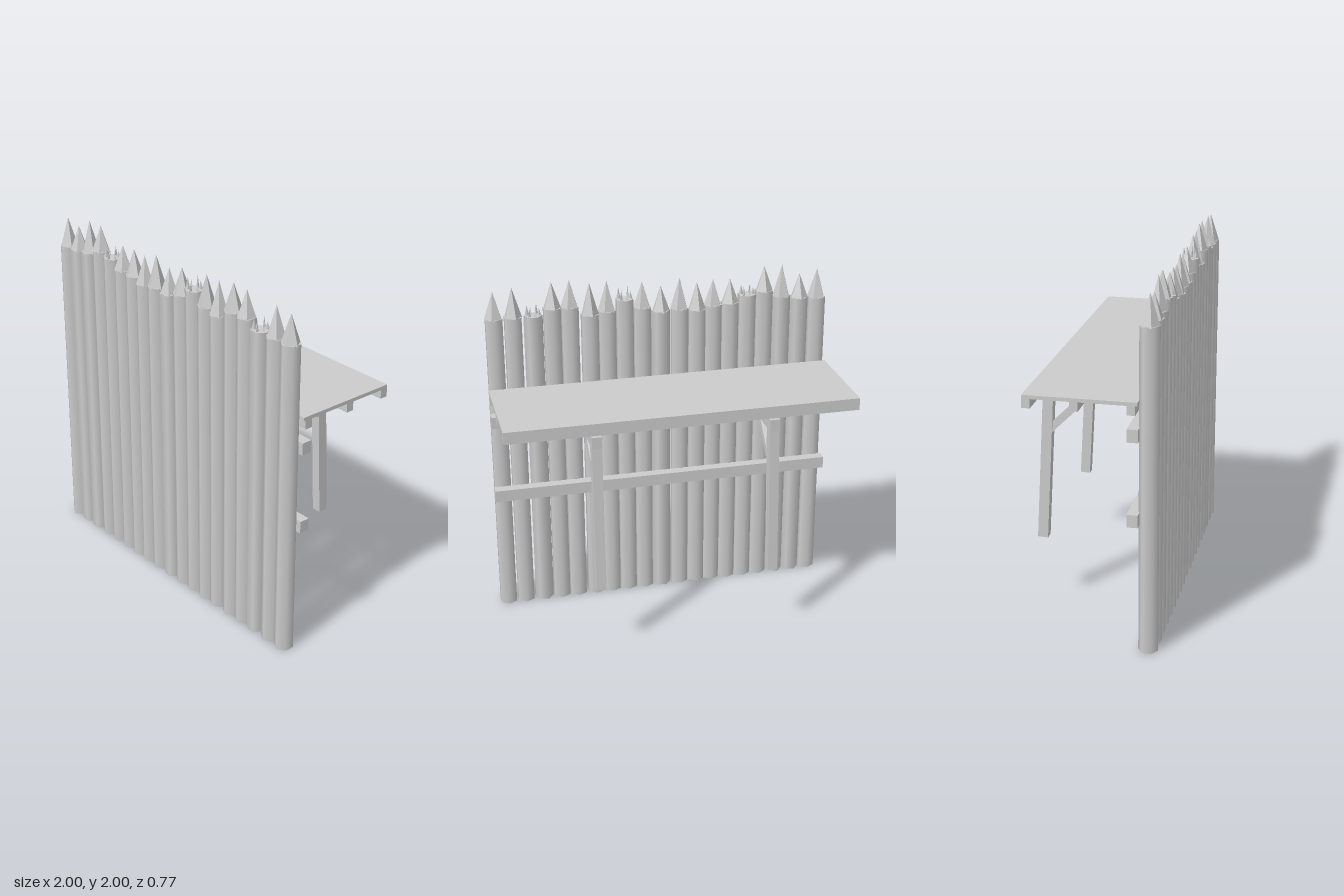
import * as THREE from 'three';

export function createModel() {
  const group = new THREE.Group();
  const wood = new THREE.MeshStandardMaterial({ color: 0xcccccc });
  wood.name = 'wood';
  // same colour, faceted shading for the carved points
  const cutWood = wood.clone();
  cutWood.name = 'cut wood';
  cutWood.flatShading = true;

  function add(name, geometry, x, y, z, material = wood, parent = group) {
    const mesh = new THREE.Mesh(geometry, material);
    mesh.name = name;
    mesh.position.set(x, y, z);
    parent.add(mesh);
    return mesh;
  }

  // box given by its extents
  function block(name, x0, x1, y0, y1, z0, z1) {
    return add(name, new THREE.BoxGeometry(x1 - x0, y1 - y0, z1 - z0),
      (x0 + x1) / 2, (y0 + y1) / 2, (z0 + z1) / 2);
  }

  // square timber between two points in the y-z plane
  function strut(name, x, width, depth, [y0, z0], [y1, z1]) {
    const length = Math.hypot(y1 - y0, z1 - z0);
    const mesh = add(name, new THREE.BoxGeometry(width, length, depth),
      x, (y0 + y1) / 2, (z0 + z1) / 2);
    mesh.rotation.x = Math.atan2(z1 - z0, y1 - y0);
  }

  // palisade logs: [x, height of shaft, height of tip, broken]
  const logZ = 0.331;
  const logs = [
    [-0.947, 1.79, 1.957], [-0.84, 1.795, 1.935], [-0.733, 1.81, 1.995],
    [-0.626, 1.85, 1.995], [-0.524, 1.835, 1.89, true], [-0.422, 1.795, 1.935],
    [-0.321, 1.79, 1.94], [-0.225, 1.77, 1.93], [-0.123, 1.785, 1.965],
    [-0.012, 1.78, 1.925], [0.096, 1.81, 1.957], [0.198, 1.865, 1.93, true],
    [0.3, 1.805, 1.98], [0.4, 1.79, 1.975], [0.513, 1.845, 2],
    [0.615, 1.845, 1.995], [0.722, 1.81, 1.87, true], [0.837, 1.81, 1.98],
    [0.944, 1.81, 1.967],
  ];
  logs.forEach(([x, top, tip, broken], i) => {
    const log = new THREE.Group();
    log.name = broken ? 'brokenLog' : 'sharpenedLog';
    log.position.set(x, 0, logZ);
    group.add(log);
    const shaft = add('logShaft', new THREE.CylinderGeometry(0.054, 0.054, top, 6), 0, top / 2, 0, wood, log);
    if ([1, 2, 9, 16].includes(i)) shaft.rotation.y = 0.4;
    if (!broken) {
      const h = tip - top + 0.005;
      const point = add('logPoint', new THREE.ConeGeometry(0.053, h, 5), 0, tip - h / 2, 0, cutWood, log);
      point.rotation.y = i * 1.9;
      return;
    }
    // splinters around the snapped rim
    for (let k = 0; k < 6; k++) {
      const a = (k / 6) * Math.PI * 2 + 0.3;
      const h = (tip - top) * (k % 2 ? 1 : 0.7);
      const splinter = add('splinter', new THREE.ConeGeometry(0.013, h, 4),
        Math.sin(a) * 0.034, top + h / 2, Math.cos(a) * 0.034, cutWood, log);
      splinter.scale.x = 0.5;
      splinter.rotation.y = a;
    }
  });

  // horizontal rails behind the logs
  for (const y of [0.72, 1.185]) block('rail', -1, 1, y, y + 0.07, 0.223, 0.283);

  // walkway deck on three joists
  block('deck', -1, 1, 1.38, 1.4, -0.323, 0.28);
  for (const z of [0.223, -0.072, -0.323]) block('joist', -1, 1, 1.33, 1.38, z, z + 0.045);

  // two braced supports
  for (const x of [-0.501, 0.5]) {
    block('crossBeam', x - 0.028, x + 0.028, 1.26, 1.33, -0.345, 0.283);
    strut('post', x, 0.055, 0.058, [0.405, -0.354], [1.3, -0.308]);
    strut('brace', x, 0.04, 0.042, [1.04, -0.312], [1.272, -0.08]);
  }
  return group;
}
